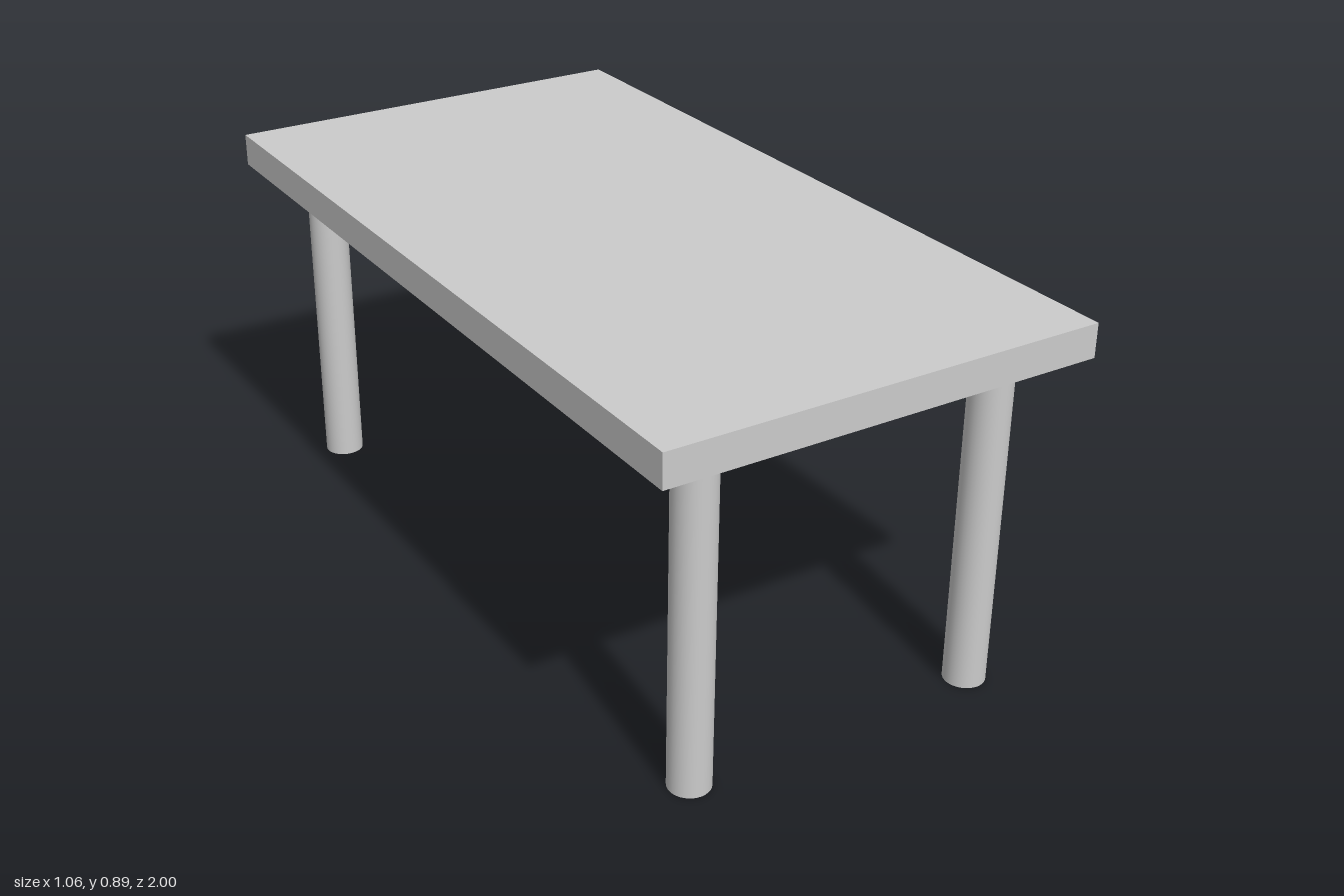
import * as THREE from 'three';

export function createModel() {
  const model = new THREE.Group();
  model.name = 'table';
  const material = new THREE.MeshStandardMaterial({ color: 0xcccccc });

  // Flat rectangular slab, resting a hair above the legs
  const topThickness = 0.08, topHeight = 0.895;
  const tableTop = new THREE.Mesh(new THREE.BoxGeometry(1.06, topThickness, 2), material);
  tableTop.name = 'tableTop';
  tableTop.position.y = topHeight - topThickness / 2;
  model.add(tableTop);

  // Four round legs, one near each corner
  const legHeight = 0.81;
  const legGeometry = new THREE.CylinderGeometry(0.049, 0.049, legHeight, 32);
  for (const [zSide, zName] of [[1, 'front'], [-1, 'back']]) {
    for (const [xSide, xName] of [[1, 'Left'], [-1, 'Right']]) {
      const leg = new THREE.Mesh(legGeometry, material);
      leg.name = `${zName}${xName}Leg`;
      leg.position.set(xSide * 0.372, legHeight / 2, zSide * 0.87);
      model.add(leg);
    }
  }
  return model;
}
